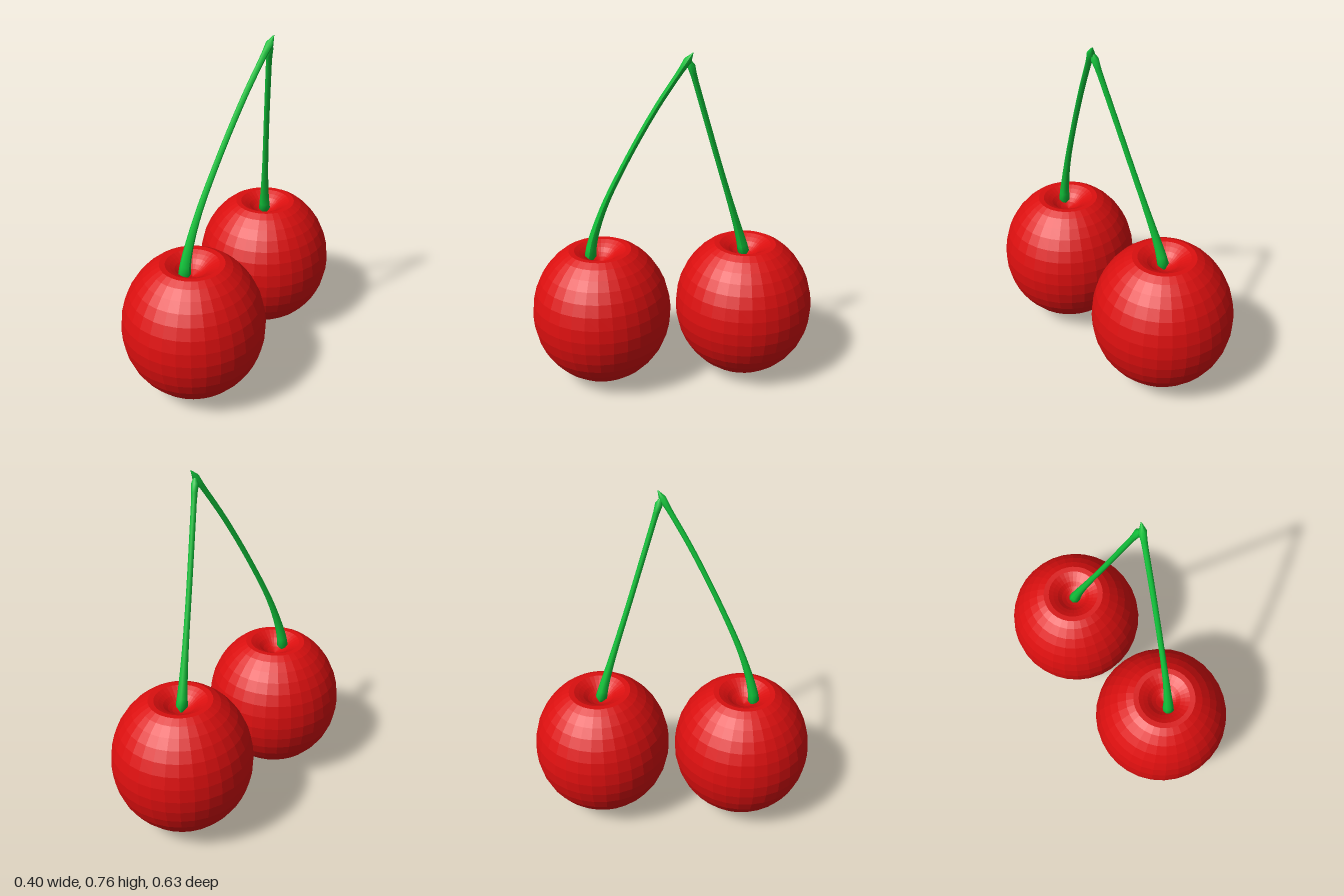
import * as THREE from 'three';

const red = new THREE.MeshStandardMaterial({ color: 0xdb0f0f, flatShading: true });
const green = new THREE.MeshStandardMaterial({ color: 0x10c43a });

const vectors = (points) => points.map((p) => new THREE.Vector3(...p));

// Round fruit with a dimple at the top, turned from a smooth profile
function makeCherry(name, x, z) {
  const profile = new THREE.SplineCurve([
    [0, 0.565], [0.05, 0.573], [0.1, 0.602], [0.14, 0.655], [0.156, 0.722],
    [0.146, 0.79], [0.115, 0.845], [0.072, 0.88], [0.045, 0.874], [0.022, 0.857], [0, 0.848],
  ].map((p) => new THREE.Vector2(...p)));
  const points = profile.getPoints(24);
  points[0].x = points[24].x = 0;
  const cherry = new THREE.Mesh(new THREE.LatheGeometry(points, 32), red);
  cherry.name = name;
  cherry.position.set(x, 0, z);
  return cherry;
}

// Thin stem, flared at the fruit and slightly thickened at the tip, closed at both ends
function makeStem(name, points) {
  const path = new THREE.CatmullRomCurve3(vectors(points));
  const rows = 28, sides = 8;
  const geometry = new THREE.TubeGeometry(path, rows, 1, sides);
  const position = geometry.attributes.position;
  const v = new THREE.Vector3();
  for (let i = 0; i < position.count; i++) {
    const row = Math.floor(i / (sides + 1));
    const u = row / rows;
    const centre = path.getPointAt(u);
    const flare = 0.009 * Math.pow(1 - u, 6);
    const tip = 0.003 * THREE.MathUtils.smoothstep(u, 0.9, 1);
    const radius = row === 0 || row === rows ? 0.0005 : 0.006 + flare + tip;
    v.fromBufferAttribute(position, i).sub(centre).multiplyScalar(radius).add(centre);
    position.setXYZ(i, v.x, v.y, v.z);
  }
  geometry.computeVertexNormals();
  const stem = new THREE.Mesh(geometry, green);
  stem.name = name;
  return stem;
}

export function createModel() {
  const group = new THREE.Group();
  group.name = 'cherryPair';
  group.add(
    makeCherry('frontCherry', -0.08, 0.842),
    makeCherry('backCherry', -0.163, 0.527),
    // Bowed stem of the front cherry
    makeStem('frontStem', [
      [-0.08, 0.845, 0.866], [-0.08, 0.89, 0.86], [-0.077, 0.98, 0.83],
      [-0.071, 1.09, 0.777], [-0.063, 1.21, 0.71], [-0.056, 1.295, 0.655], [-0.053, 1.325, 0.635],
    ]),
    // Nearly straight stem of the back cherry
    makeStem('backStem', [
      [-0.164, 0.845, 0.527], [-0.157, 0.89, 0.536], [-0.108, 1.1, 0.59], [-0.056, 1.315, 0.644],
    ]),
  );
  return group;
}
